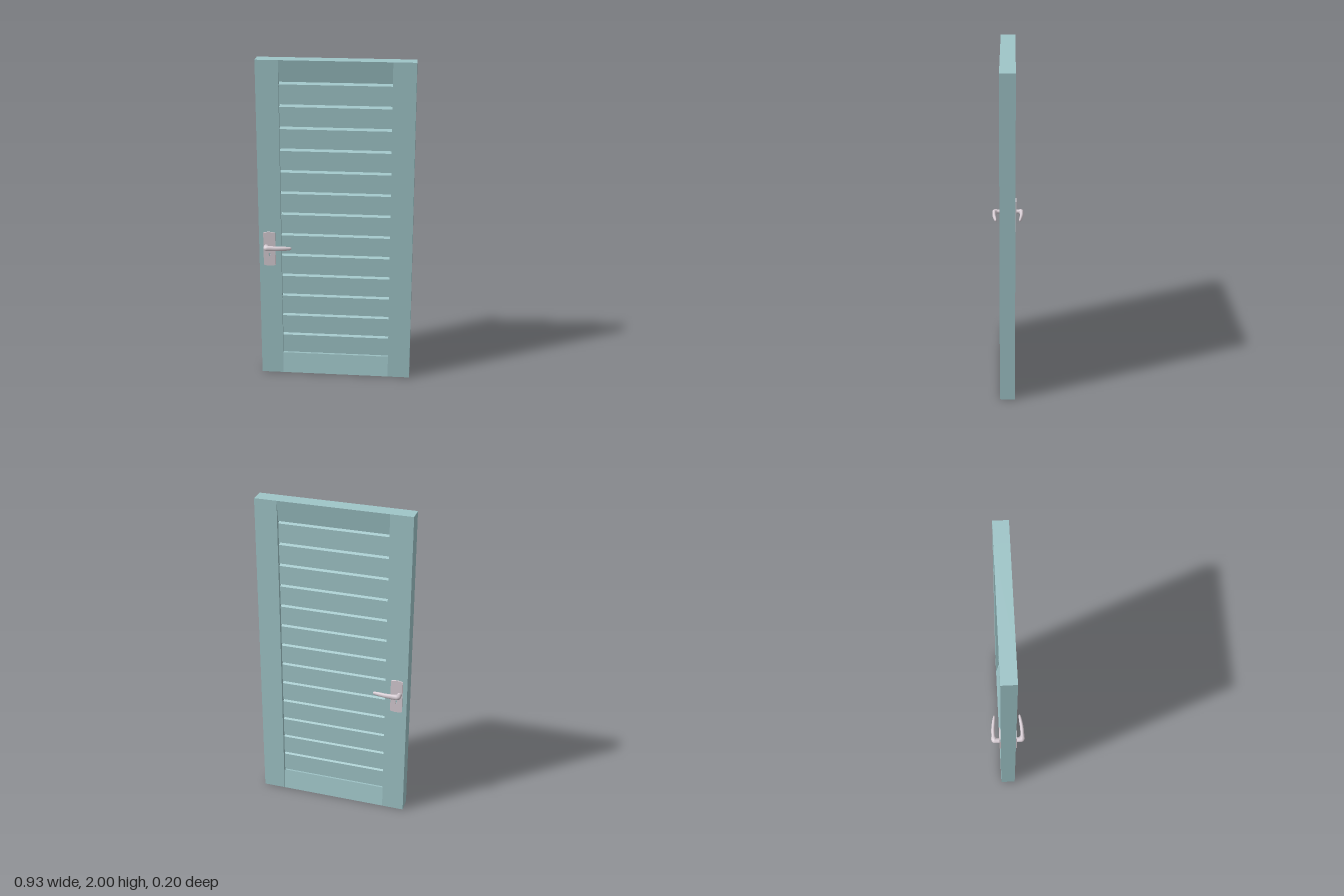
import * as THREE from 'three';

const paint = new THREE.MeshStandardMaterial({ color: 0x9fc5c8 });
const metal = new THREE.MeshStandardMaterial({ color: 0xd6ccd3 });

const HALF_W = 0.465, HALF_T = 0.045, INNER = 0.33;
const COUNT = 15, PITCH = 2 / COUNT;

function add(parent, name, geometry, material) {
  const mesh = new THREE.Mesh(geometry, material);
  mesh.name = name;
  parent.add(mesh);
  return mesh;
}

// Board running along x; half is a list of [z, y] from bottom to top, mirrored front to back
function board(half) {
  const right = half.map(([z, y]) => new THREE.Vector2(z, y));
  const left = half.map(([z, y]) => new THREE.Vector2(-z, y)).reverse();
  const g = new THREE.ExtrudeGeometry(new THREE.Shape([...right, ...left]), { depth: 2 * INNER, bevelEnabled: false });
  return g.rotateY(Math.PI / 2).translate(-INNER, 0, 0);
}

// Lever as a sweep of ellipses: [x, z, turn, half thickness, half height]
function leverGeometry() {
  const keys = [
    [-0.420, 0.045, 0.0, 0.015, 0.013], [-0.420, 0.066, 0.1, 0.015, 0.014],
    [-0.413, 0.083, 0.8, 0.019, 0.017], [-0.385, 0.088, 1.5, 0.012, 0.016],
    [-0.340, 0.087, 1.63, 0.011, 0.014], [-0.300, 0.082, 1.70, 0.010, 0.013],
    [-0.272, 0.078, 1.72, 0.007, 0.010], [-0.264, 0.077, 1.72, 0.004, 0.006],
    [-0.262, 0.077, 1.72, 0.0003, 0.0003],
  ];
  const path = new THREE.CatmullRomCurve3(keys.map(k => new THREE.Vector3(k[0], k[1], k[2])));
  const size = new THREE.CatmullRomCurve3(keys.map(k => new THREE.Vector3(k[3], k[4], 0)));
  const rings = 40, sides = 24, pos = [], idx = [];
  for (let i = 0; i <= rings; i++) {
    const p = path.getPoint(i / rings), s = size.getPoint(i / rings);
    for (let j = 0; j < sides; j++) {
      const a = (j / sides) * Math.PI * 2;
      const u = Math.cos(a) * Math.max(s.x, 0.0003), v = Math.sin(a) * Math.max(s.y, 0.0003);
      pos.push(p.x + u * Math.cos(p.z), v, p.y - u * Math.sin(p.z));
      if (i < rings) {
        const q = i * sides + j, r = i * sides + (j + 1) % sides;
        idx.push(q, r, q + sides, r, r + sides, q + sides);
      }
    }
  }
  const g = new THREE.BufferGeometry();
  g.setAttribute('position', new THREE.Float32BufferAttribute(pos, 3));
  g.setIndex(idx);
  g.computeVertexNormals();
  return g;
}

// Lock plate with bowed ends and a keyhole
function plateGeometry() {
  const x0 = -0.438, x1 = -0.365, mid = (x0 + x1) / 2;
  const s = new THREE.Shape();
  s.moveTo(x0, 0.737);
  s.quadraticCurveTo(mid, 0.725, x1, 0.737);
  s.lineTo(x1, 0.944);
  s.quadraticCurveTo(mid, 0.956, x0, 0.944);
  s.closePath();
  const hole = new THREE.Path();
  hole.moveTo(mid - 0.0025, 0.788);
  hole.lineTo(mid - 0.0025, 0.802);
  hole.absarc(mid, 0.807, 0.0065, Math.PI * 1.37, -Math.PI * 0.37, true);
  hole.lineTo(mid + 0.0025, 0.788);
  hole.closePath();
  s.holes.push(hole);
  return new THREE.ExtrudeGeometry(s, { depth: 0.008, bevelEnabled: false, curveSegments: 16 });
}

export function createModel() {
  const door = new THREE.Group();
  door.name = 'door';

  // Side stiles
  for (const side of [1, -1]) {
    const stile = add(door, side > 0 ? 'leftStile' : 'rightStile',
      new THREE.BoxGeometry(HALF_W - INNER, 2, 2 * HALF_T), paint);
    stile.position.set(side * (HALF_W + INNER) / 2, 1, 0);
  }

  // Thin core closing the grooves between slats
  const core = add(door, 'core', new THREE.BoxGeometry(2 * INNER, 1.98, 0.014), paint);
  core.position.y = 1;

  // Bottom and top rails, tapering from the recessed panel to the full thickness
  add(door, 'bottomRail', board([[HALF_T, 0], [0.026, PITCH - 0.004], [0.024, PITCH]]), paint);
  add(door, 'topRail', board([[0.026, 2 - PITCH + 0.004], [HALF_T, 2]]), paint);

  // Slats with a sloping top edge below a small gap
  const slat = board([[0.025, 0.004], [0.025, PITCH - 0.012], [0.008, PITCH]]);
  for (let i = 1; i < COUNT - 1; i++) {
    add(door, 'slat' + i, slat, paint).position.y = i * PITCH;
  }

  // Lock plate and lever on both faces
  const plate = plateGeometry(), lever = leverGeometry();
  for (const side of [1, -1]) {
    const handle = new THREE.Group();
    handle.name = side > 0 ? 'frontHandle' : 'backHandle';
    add(handle, 'lockPlate', plate, metal).position.z = side > 0 ? HALF_T : -HALF_T - 0.008;
    const grip = add(handle, 'lever', lever, metal);
    grip.position.y = 0.857;
    if (side < 0) grip.rotation.x = Math.PI;
    door.add(handle);
  }
  return door;
}
